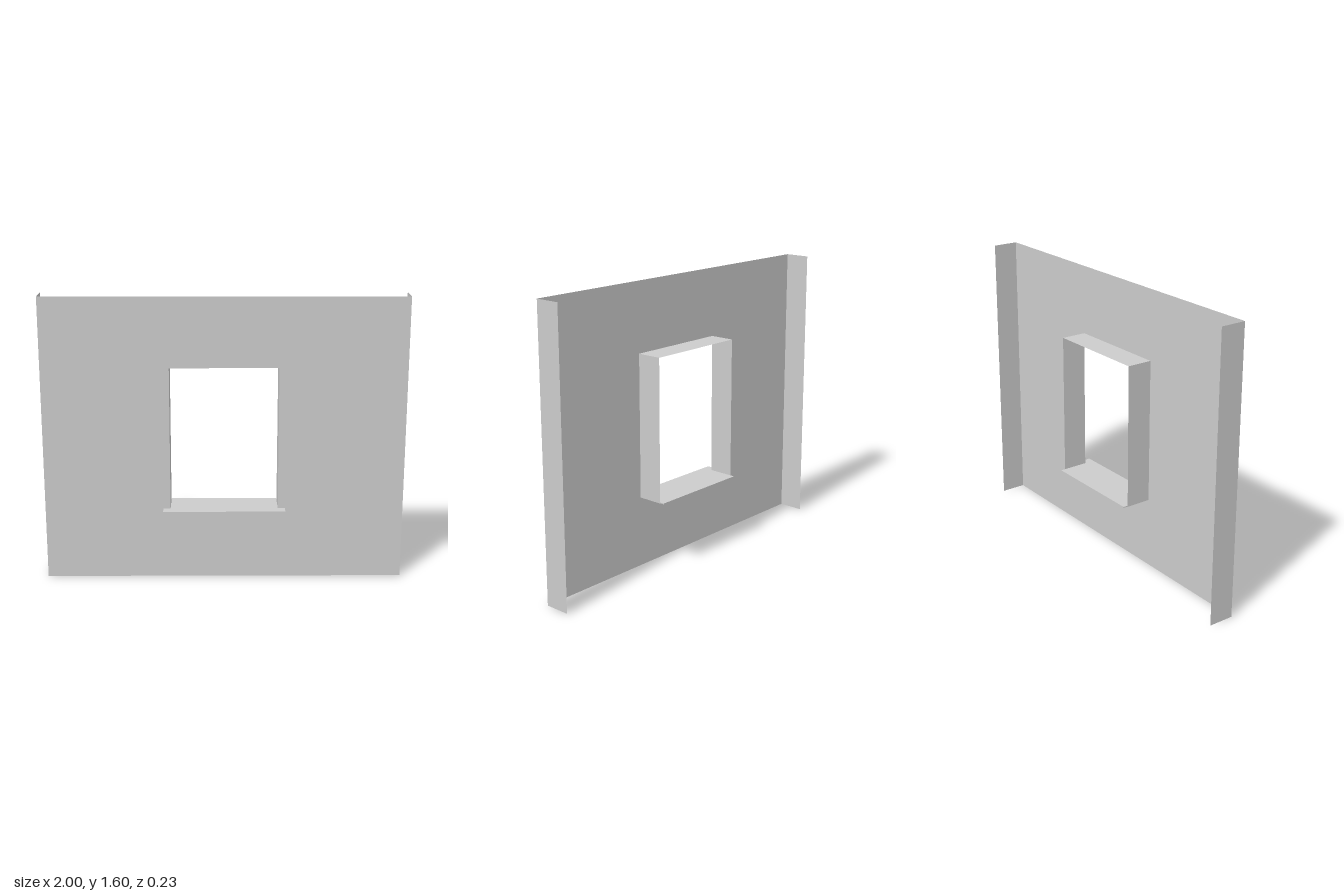
import * as THREE from 'three';

const FRONT = 0.057, BACK = -0.088;          // depth of the wall panel
const HALF = 0.3, BOTTOM = 0.4, TOP = 1.21;  // window opening
const SILL = 0.115;                          // sill overhang, front and back

export function createModel() {
  const group = new THREE.Group();
  const grey = new THREE.MeshStandardMaterial({ color: 0xcccccc, side: THREE.DoubleSide });

  const add = (name, geometry, x = 0, y = 0, z = 0) => {
    const mesh = new THREE.Mesh(geometry, grey);
    mesh.name = name;
    mesh.position.set(x, y, z);
    group.add(mesh);
    return mesh;
  };

  // Front sheet with the window opening
  const wall = new THREE.Shape();
  wall.moveTo(-1, 0).lineTo(1, 0).lineTo(1, 1.6).lineTo(-1, 1.6).closePath();
  const opening = new THREE.Path();
  opening.moveTo(-HALF, BOTTOM).lineTo(-HALF, TOP).lineTo(HALF, TOP).lineTo(HALF, BOTTOM).closePath();
  wall.holes.push(opening);
  add('wallFace', new THREE.ShapeGeometry(wall), 0, 0, FRONT);

  // Sheets running back from the front: wall ends and window reveals
  const depth = FRONT - BACK, midZ = (FRONT + BACK) / 2;
  for (const [side, s] of [['left', 1], ['right', -1]]) {
    const end = new THREE.PlaneGeometry(depth, 1.6).rotateY(s * Math.PI / 2);
    add(side + 'WallEnd', end, s, 0.8, midZ);
    const reveal = new THREE.PlaneGeometry(depth, TOP - BOTTOM).rotateY(s * Math.PI / 2);
    add(side + 'Reveal', reveal, s * HALF, (TOP + BOTTOM) / 2, midZ);
  }
  add('topReveal', new THREE.PlaneGeometry(2 * HALF, depth).rotateX(-Math.PI / 2), 0, TOP, midZ);

  // Thin sill plate: wider in front of the wall, opening width behind it
  const plate = new THREE.Shape();
  const w = 0.34;
  plate.moveTo(-w, -SILL).lineTo(w, -SILL).lineTo(w, -FRONT).lineTo(HALF, -FRONT)
    .lineTo(HALF, SILL).lineTo(-HALF, SILL).lineTo(-HALF, -FRONT).lineTo(-w, -FRONT).closePath();
  const plateGeometry = new THREE.ExtrudeGeometry(plate, { depth: 0.005, bevelEnabled: false });
  add('sillPlate', plateGeometry.rotateX(-Math.PI / 2), 0, 0.402);

  // Folded drip edge along the front of the sill
  add('sillLip', new THREE.BoxGeometry(2 * w, 0.012, 0.005), 0, 0.4, SILL - 0.0025);

  return group;
}
